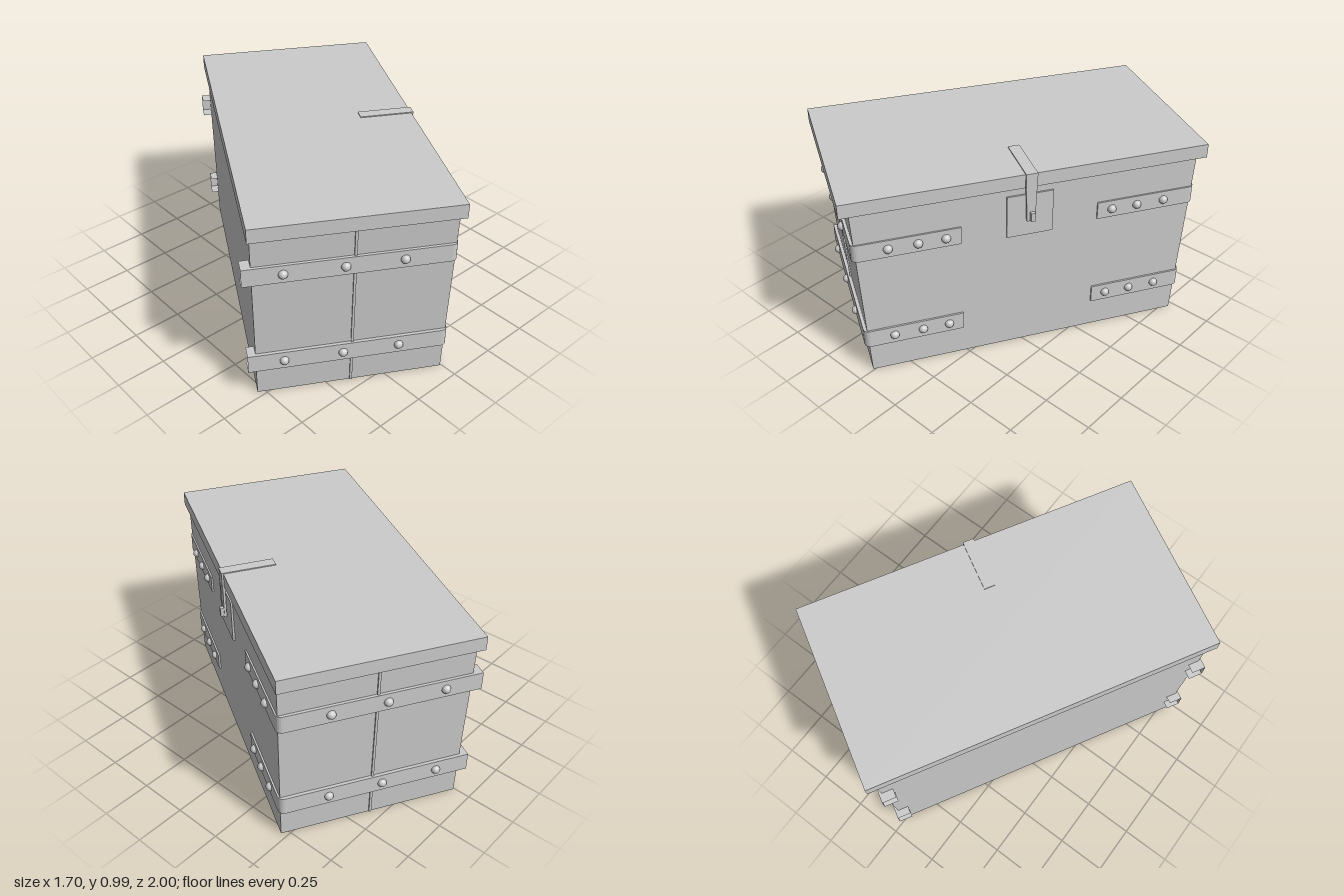
import * as THREE from 'three';

const mat = new THREE.MeshStandardMaterial({ color: 0xcccccc, side: THREE.DoubleSide, flatShading: true });
const smooth = new THREE.MeshStandardMaterial({ color: 0xcccccc });

function add(parent, name, geometry, x = 0, y = 0, z = 0, material = mat) {
  const mesh = new THREE.Mesh(geometry, material);
  mesh.name = name;
  mesh.position.set(x, y, z);
  parent.add(mesh);
  return mesh;
}

// Surface through a list of cross-sections with equal point counts
function loft(sections, closed) {
  const pos = [];
  for (let i = 0; i < sections.length - 1; i++) {
    const a = sections[i], b = sections[i + 1], n = a.length;
    for (let j = 0; j < (closed ? n : n - 1); j++) {
      const k = (j + 1) % n;
      pos.push(...a[j], ...a[k], ...b[k], ...a[j], ...b[k], ...b[j]);
    }
  }
  const g = new THREE.BufferGeometry();
  g.setAttribute('position', new THREE.Float32BufferAttribute(pos, 3));
  g.computeVertexNormals();
  return g;
}

const ring = (x, y, z) => [[-x, y, z], [x, y, z], [x, y, -z], [-x, y, -z]];

// Channel-shaped iron band around one end, with its rivets
function addBand(side, y0, y1, X, Zf, Zb) {
  const xi = X - 0.07, zi = Zf - 0.06, end = 0.335, r = 0.03;
  const section = (x, z, ix, iz) => [[ix, y1, iz], [x, y1, z], [x, y0, z], [ix, y0, iz]];
  const sections = [section(X, -Zb, xi, -Zb)];
  for (let i = 0; i <= 5; i++) {
    const a = i / 5 * Math.PI / 2;
    sections.push(section(X - r + r * Math.cos(a), Zf - r + r * Math.sin(a), xi, zi));
  }
  sections.push(section(end, Zf, end, zi), section(end, zi, end, zi));
  add(side, 'band', loft(sections, false));

  const y = (y0 + y1) / 2;
  const head = new THREE.SphereGeometry(0.022, 14, 8, 0, Math.PI * 2, 0, Math.PI / 2);
  for (const x of [0.408, 0.538, 0.677]) {
    add(side, 'frontRivet', head, x, y, Zf, smooth).rotation.x = Math.PI / 2;
  }
  for (const z of [0.22, -0.045, -0.32]) {
    add(side, 'endRivet', head, X, y, z, smooth).rotation.z = -Math.PI / 2;
  }
}

export function createModel() {
  const model = new THREE.Group();
  model.name = 'chest';
  const chest = new THREE.Group();
  chest.name = 'turnedChest';
  chest.rotation.y = 1.051;
  model.add(chest);

  // Tapered body, open underneath
  add(chest, 'body', loft([ring(0.795, 0, 0.447), ring(0.835, 0.92, 0.458)], true));
  add(chest, 'lid', new THREE.BoxGeometry(1.762, 0.07, 0.946), 0, 0.95, 0);

  // Bands and plank seams, mirrored on both ends
  for (const s of [1, -1]) {
    const side = new THREE.Group();
    side.name = s > 0 ? 'leftEnd' : 'rightEnd';
    side.scale.x = s;
    chest.add(side);
    addBand(side, 0.665, 0.755, 0.842, 0.464, 0.5);
    addBand(side, 0.155, 0.248, 0.822, 0.459, 0.488);
    const slope = -Math.atan(0.04 / 0.92);
    add(side, 'plankSeam', new THREE.BoxGeometry(0.016, 0.914, 0.012), 0.814, 0.458, 0).rotation.z = slope;
    add(side, 'innerBatten', new THREE.BoxGeometry(0.02, 0.91, 0.08), 0.8, 0.46, 0).rotation.z = slope;
  }

  // Latch: plate, folded hasp and staple
  const latch = new THREE.Group();
  latch.name = 'latch';
  chest.add(latch);
  add(latch, 'latchPlate', new THREE.BoxGeometry(0.225, 0.222, 0.016), -0.005, 0.763, 0.458);
  add(latch, 'haspTop', new THREE.BoxGeometry(0.056, 0.008, 0.27), -0.005, 0.986, 0.348);
  add(latch, 'haspDrop', new THREE.BoxGeometry(0.056, 0.085, 0.01), -0.005, 0.9475, 0.477);
  const lower = new THREE.Shape([[-0.026, 0.905], [-0.02, 0.735], [0.02, 0.735], [0.026, 0.905]]
    .map(([x, y]) => new THREE.Vector2(x, y)));
  add(latch, 'haspTongue', new THREE.ExtrudeGeometry(lower, { depth: 0.012, bevelEnabled: false }), -0.005, 0, 0.468);
  add(latch, 'staple', new THREE.BoxGeometry(0.022, 0.045, 0.03), 0, 0.762, 0.482);
  return model;
}
